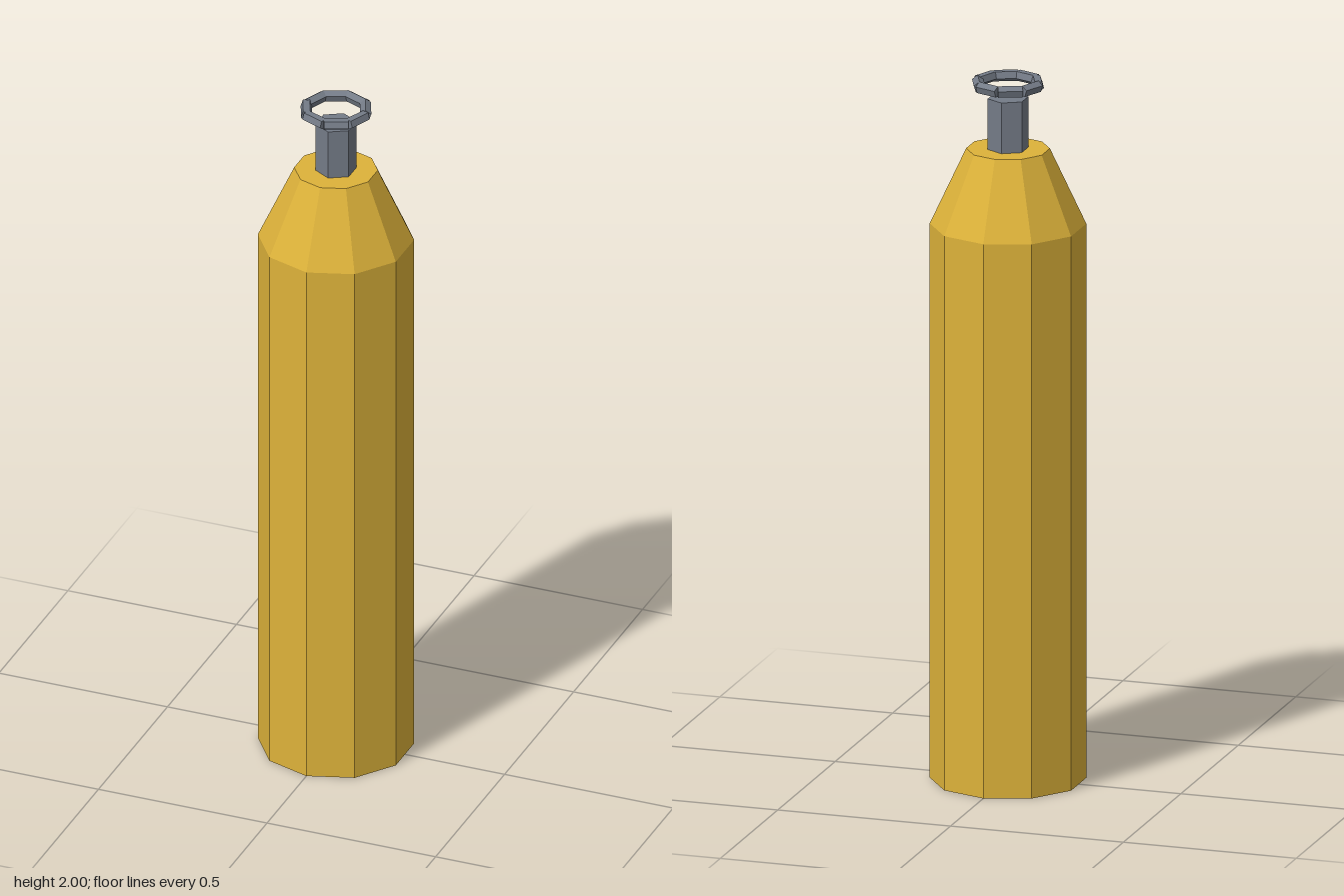
import * as THREE from 'three';

const flat = (color, name) => {
  const m = new THREE.MeshStandardMaterial({ color, flatShading: true });
  m.name = name;
  return m;
};

export function createModel() {
  const gold = flat(0xddb23a, 'gold paint');
  const steel = flat(0x747b87, 'grey steel');
  const model = new THREE.Group();
  model.name = 'gasCylinder';

  // Upright prism between two heights, with a corner facing the front
  const prism = (name, rTop, rBottom, y0, y1, sides, material, open = false) => {
    const mesh = new THREE.Mesh(new THREE.CylinderGeometry(rTop, rBottom, y1 - y0, sides, 1, open), material);
    mesh.name = name;
    mesh.position.y = (y0 + y1) / 2;
    model.add(mesh);
  };
  prism('tankBody', 0.215, 0.215, 0, 1.585, 10, gold);
  prism('tankShoulder', 0.115, 0.215, 1.585, 1.8, 10, gold);
  prism('valveStem', 0.057, 0.057, 1.8, 1.945, 6, steel);

  // Hand wheel: eight straight five-sided bars, notched at the outer corners
  const wheel = new THREE.Group();
  wheel.name = 'valveWheel';
  wheel.position.y = 1.985;
  const bar = new THREE.CylinderGeometry(0.0165, 0.0165, 0.068, 5);
  bar.rotateX(Math.PI / 2);
  for (let i = 0; i < 8; i++) {
    const a = (i + 0.5) * Math.PI / 4;
    const pivot = new THREE.Group();
    pivot.rotation.y = -a;
    const mesh = new THREE.Mesh(bar, steel);
    mesh.name = 'wheelBar';
    mesh.position.x = 0.081;
    // Front bars lie with a flat side up, rear bars with a ridge up
    mesh.rotation.z = i < 4 ? 0 : Math.PI;
    pivot.add(mesh);
    wheel.add(pivot);
  }
  model.add(wheel);
  return model;
}
